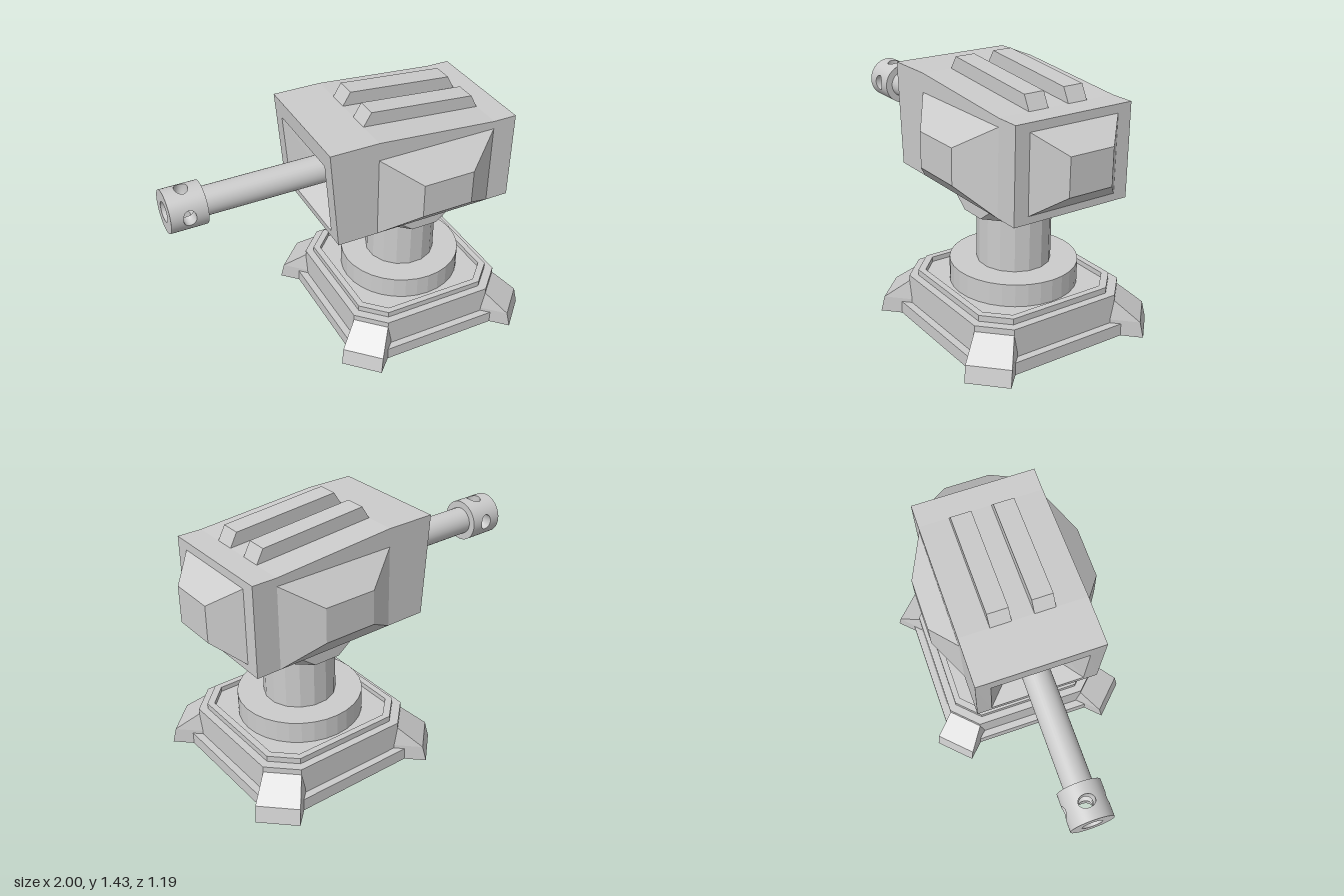
import * as THREE from 'three';
import { ParametricGeometry } from 'three/addons/geometries/ParametricGeometry.js';

const CX = 0.385; // vertical axis of the base and column
const flat = new THREE.MeshStandardMaterial({ color: 0xcccccc, flatShading: true });
const smooth = new THREE.MeshStandardMaterial({ color: 0xcccccc });
const thin = new THREE.MeshStandardMaterial({ color: 0xcccccc, side: THREE.DoubleSide });

function part(parent, name, geometry, material, x = 0, y = 0, z = 0) {
  const mesh = new THREE.Mesh(geometry, material);
  mesh.name = name;
  mesh.position.set(x, y, z);
  parent.add(mesh);
  return mesh;
}

// Joins equal-length rings (counter-clockwise seen from the last one) and caps both ends
function loft(rings) {
  const pos = [];
  const tri = (a, b, c) => pos.push(...a, ...b, ...c);
  const n = rings[0].length;
  for (let r = 0; r < rings.length - 1; r++) {
    const a = rings[r], b = rings[r + 1];
    for (let i = 0; i < n; i++) {
      const j = (i + 1) % n;
      tri(a[i], a[j], b[j]);
      tri(a[i], b[j], b[i]);
    }
  }
  const first = rings[0], last = rings[rings.length - 1];
  for (let i = 1; i < n - 1; i++) {
    tri(first[0], first[i + 1], first[i]);
    tri(last[0], last[i], last[i + 1]);
  }
  const g = new THREE.BufferGeometry();
  g.setAttribute('position', new THREE.Float32BufferAttribute(pos, 3));
  g.computeVertexNormals();
  return g;
}

// Horizontal octagon: half sizes hx, hz with corners cut back to cx, cz
const octagon = (y, hx, cx, hz = hx, cz = cx) => [
  [hx, y, cz], [hx, y, -cz], [cx, y, -hz], [-cx, y, -hz],
  [-hx, y, -cz], [-hx, y, cz], [-cx, y, hz], [cx, y, hz]];
// Rectangles lying across y, x and z
const rectY = (y, x0, x1, h) => [[x1, y, h], [x1, y, -h], [x0, y, -h], [x0, y, h]];
const rectX = (xBottom, xTop, y0, y1, h) =>
  [[xBottom, y0, h], [xBottom, y0, -h], [xTop, y1, -h], [xTop, y1, h]];
const rectZ = (z, h, y0, y1) => [[-h, y0, z], [h, y0, z], [h, y1, z], [-h, y1, z]];

function addBase(root) {
  const base = new THREE.Group();
  base.name = 'base';
  base.position.x = CX;
  root.add(base);
  // Stepped platform with a raised rim
  part(base, 'platform', loft([
    octagon(0, 0.51, 0.345), octagon(0.07, 0.51, 0.345),
    octagon(0.07, 0.468, 0.325), octagon(0.23, 0.468, 0.325),
    octagon(0.23, 0.425, 0.3), octagon(0.263, 0.425, 0.3),
    octagon(0.263, 0.39, 0.28), octagon(0.235, 0.39, 0.28)]), flat);
  // Sloped feet on the diagonals
  const foot = loft([
    rectY(0, 0.4, 0.725, 0.117), rectY(0.09, 0.4, 0.704, 0.117), rectY(0.197, 0.4, 0.561, 0.101)]);
  for (let i = 0; i < 4; i++) {
    part(base, 'foot', foot, flat).rotation.y = Math.PI / 4 + i * Math.PI / 2;
  }
  // Turntable, column and collar
  part(base, 'turntable', new THREE.CylinderGeometry(0.347, 0.347, 0.13, 32), flat, 0, 0.295, 0);
  const column = new THREE.CylinderGeometry(0.2, 0.2, 0.36, 16);
  column.rotateY(Math.PI / 16);
  part(base, 'column', column, flat, 0, 0.51, 0);
  part(base, 'collar', loft([
    octagon(0.667, 0.235, 0.075, 0.265, 0.12), octagon(0.79, 0.235, 0.235, 0.265, 0.265)]), flat);
}

function addHousing(root) {
  const housing = new THREE.Group();
  housing.name = 'housing';
  root.add(housing);
  // Body from the recessed barrel port to the bulged rear
  part(housing, 'body', loft([
    rectX(-0.07, -0.07, 0.94, 1.145, 0.13),
    rectX(-0.193, -0.227, 0.83, 1.25, 0.265),
    rectX(-0.19, -0.235, 0.79, 1.355, 0.347),
    rectX(0.04, 0.04, 0.79, 1.355, 0.347),
    rectX(0.73, 0.73, 0.79, 1.297, 0.347),
    rectX(0.865, 0.865, 0.79, 1.297, 0.347),
    rectX(0.865, 0.865, 0.83, 1.25, 0.265),
    rectX(1, 1, 0.94, 1.145, 0.13)]), flat);
  // Side bulges
  for (const [side, depth] of [[1, 0.482], [-1, 0.465]]) {
    const bulge = loft([rectZ(0.34, 0.345, 0.79, 1.252), rectZ(0.347, 0.345, 0.79, 1.252),
      rectZ(depth, 0.148, 0.923, 1.118)]);
    part(housing, 'sideBulge', bulge, flat, CX).rotation.y = side > 0 ? 0 : Math.PI;
  }
  // Roof rails
  const profile = new THREE.Shape([[0.04, 1.33], [0.73, 1.28], [0.73, 1.297], [0.69, 1.373],
    [0.085, 1.428], [0.04, 1.355]].map(p => new THREE.Vector2(...p)));
  const rail = new THREE.ExtrudeGeometry(profile, { depth: 0.115, bevelEnabled: false });
  for (const z of [-0.178, 0.058]) part(housing, 'roofRail', rail, flat, 0, 0, z);
}

function addBarrel(root) {
  const barrel = new THREE.Group();
  barrel.name = 'barrel';
  barrel.position.set(-0.9, 1.047, 0);
  root.add(barrel);
  const tube = new THREE.CylinderGeometry(0.078, 0.078, 0.75, 32);
  tube.rotateZ(Math.PI / 2);
  part(barrel, 'barrelTube', tube, smooth, 0.475, 0, 0);

  // Muzzle: four quarter walls, each pierced by a round vent
  const outer = 0.117, bore = 0.055, half = 0.1;
  const onCylinder = (r, x, angle, target) => target.set(x, r * Math.sin(angle), r * Math.cos(angle));
  const ventX = 0.035;
  const wall = (r, ventAngle) => new ParametricGeometry((u, v, target) => {
    const c = Math.cos(u * 2 * Math.PI), s = Math.sin(u * 2 * Math.PI);
    const k = 1 / Math.max(Math.abs(c), Math.abs(s));
    onCylinder(r, THREE.MathUtils.lerp(ventX * c, half * c * k, v),
      THREE.MathUtils.lerp(ventAngle * s, Math.PI / 4 * s * k, v), target);
  }, 48, 4);
  const ventOuter = 0.395, ventInner = 0.73;
  const outside = wall(outer, ventOuter), inside = wall(bore, ventInner);
  const ventWall = new ParametricGeometry((u, v, target) => {
    const a = u * 2 * Math.PI;
    onCylinder(THREE.MathUtils.lerp(outer, bore, v), ventX * Math.cos(a),
      THREE.MathUtils.lerp(ventOuter, ventInner, v) * Math.sin(a), target);
  }, 48, 2);
  for (let i = 0; i < 4; i++) {
    const quarter = new THREE.Group();
    quarter.name = 'muzzleQuarter';
    quarter.rotation.x = i * Math.PI / 2;
    barrel.add(quarter);
    part(quarter, 'muzzleWall', outside, thin);
    part(quarter, 'boreWall', inside, thin);
    part(quarter, 'ventWall', ventWall, thin);
  }
  part(barrel, 'muzzleFace', new THREE.RingGeometry(bore, outer, 48), thin, -half).rotation.y = -Math.PI / 2;
  part(barrel, 'muzzleBack', new THREE.RingGeometry(0.07, outer, 48), thin, half).rotation.y = Math.PI / 2;
}

export function createModel() {
  const root = new THREE.Group();
  root.name = 'turret';
  addBase(root);
  addHousing(root);
  addBarrel(root);
  return root;
}
